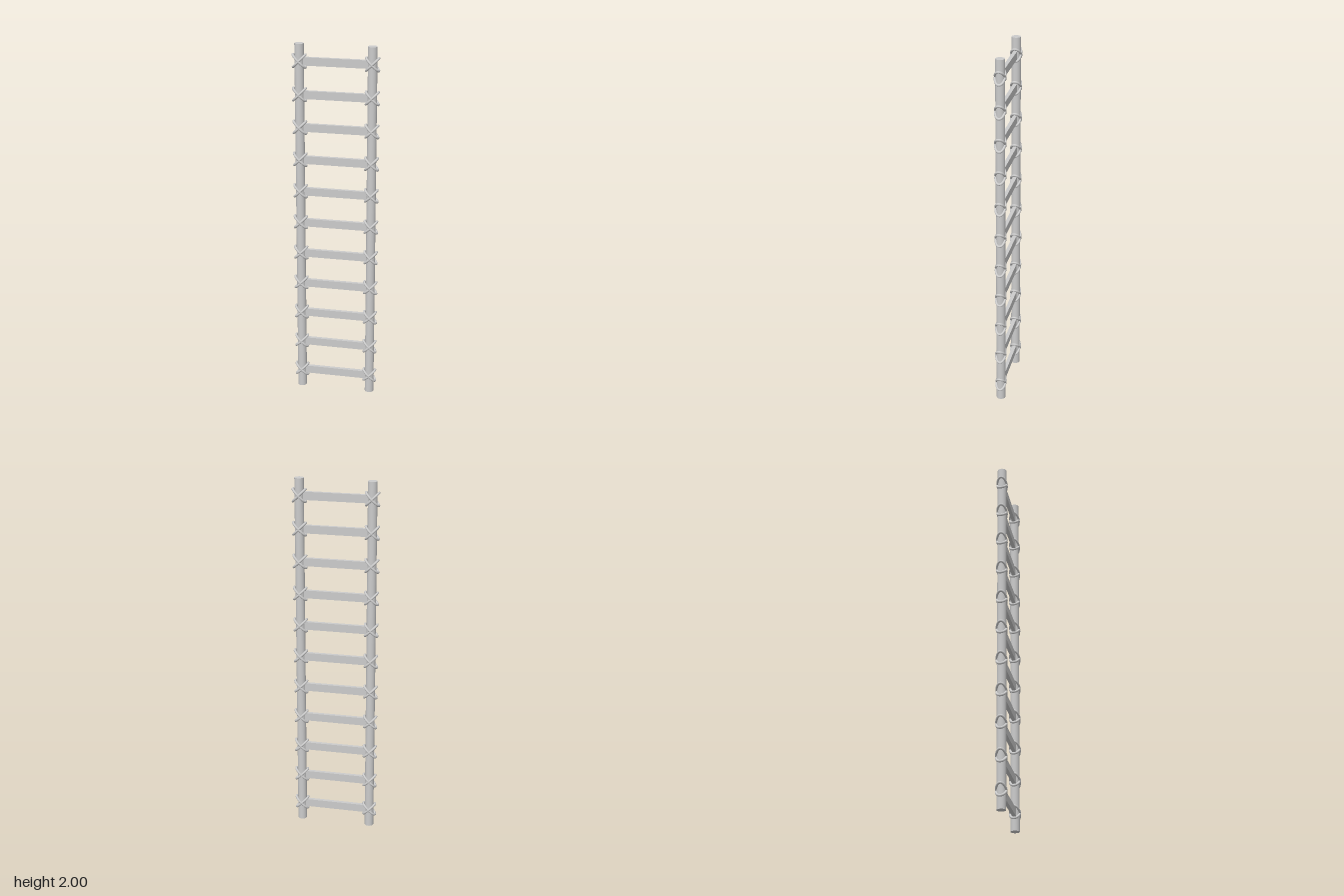
import * as THREE from 'three';

const RAIL_X = 0.196, RAIL_R = 0.025, RUNGS = 11;

// Closed elliptical loop in the plane spanned by the local x and z axes
class EllipseLoop extends THREE.Curve {
  constructor(a, b) { super(); this.a = a; this.b = b; }
  getPoint(t, target = new THREE.Vector3()) {
    const u = t * Math.PI * 2;
    return target.set(this.a * Math.cos(u), 0, this.b * Math.sin(u));
  }
}

export function createModel() {
  const group = new THREE.Group();
  group.name = 'ladder';
  const material = new THREE.MeshStandardMaterial({ color: 0xcccccc });
  const add = (geometry, name, x, y, parent = group) => {
    const mesh = new THREE.Mesh(geometry, material);
    mesh.name = name;
    mesh.position.set(x, y, 0);
    parent.add(mesh);
    return mesh;
  };

  // Upright poles
  const railGeo = new THREE.CylinderGeometry(RAIL_R, RAIL_R, 2, 24);
  add(railGeo, 'leftRail', RAIL_X, 1);
  add(railGeo, 'rightRail', -RAIL_X, 1);

  // Flat rungs, tied to each pole by a pair of crossed rope loops
  const rungGeo = new THREE.BoxGeometry(RAIL_X * 2, 0.044, 0.02);
  const ropeGeo = new THREE.TubeGeometry(new EllipseLoop(0.048, 0.0255), 40, 0.0065, 10, true);
  for (let i = 0; i < RUNGS; i++) {
    const y = 0.1 + i * 0.1805;
    add(rungGeo, 'rung', 0, y);
    for (const side of [-1, 1]) {
      const lashing = new THREE.Group();
      lashing.name = side > 0 ? 'leftLashing' : 'rightLashing';
      lashing.position.set(side * RAIL_X, y, 0);
      group.add(lashing);
      for (const tilt of [-1, 1]) {
        add(ropeGeo, 'ropeLoop', 0, 0, lashing).rotation.z = tilt * Math.PI / 4;
      }
    }
  }
  return group;
}
